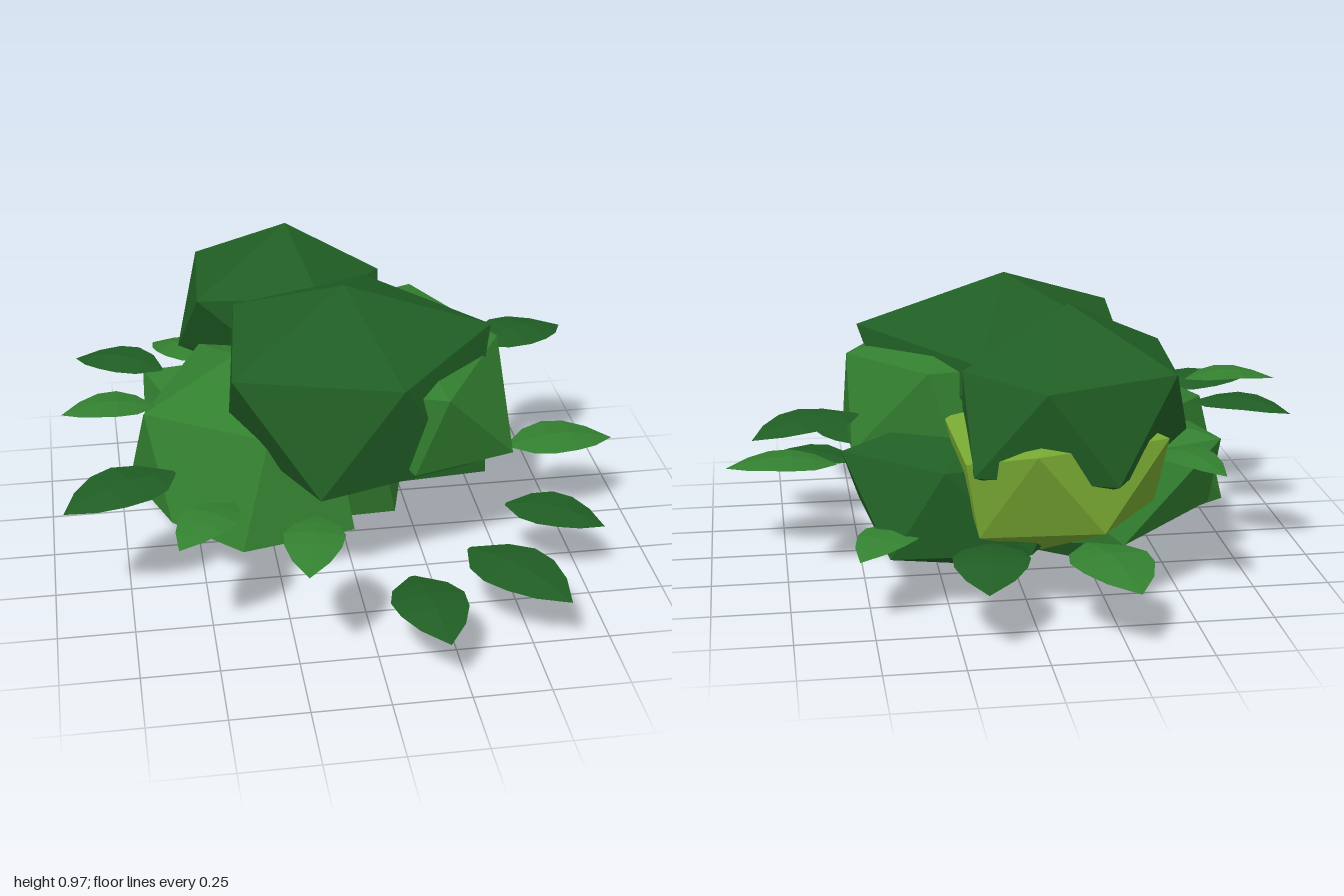
import * as THREE from 'three';
import { ConvexGeometry } from 'three/addons/geometries/ConvexGeometry.js';

const paint = (color) => new THREE.MeshStandardMaterial({ color, flatShading: true, side: THREE.DoubleSide });

// Faceted foliage clump: an irregular 20-sided solid with a top, two rings and a bottom
function clump(name, material, points) {
  const mesh = new THREE.Mesh(new ConvexGeometry(points.map((p) => new THREE.Vector3(...p))), material);
  mesh.name = name;
  return mesh;
}

// Arched leaf blade: cross-sections of left edge, raised midrib and right edge
function leaf(name, material, [bx, bz, tx, tz, by, ty, width]) {
  const half = [0.04, 0.38, 0.5, 0.46, 0.3, 0];
  const length = Math.hypot(tx - bx, tz - bz);
  const sx = -(tz - bz) / length, sz = (tx - bx) / length;
  const position = [], index = [];
  half.forEach((h, i) => {
    const t = i / (half.length - 1);
    const x = bx + (tx - bx) * t, z = bz + (tz - bz) * t;
    const y = by + (ty - by) * t + 0.035 * Math.sin(Math.PI * t);
    for (const s of [-1, 0, 1]) {
      const w = s * h * width;
      position.push(x + sx * w, y - Math.abs(w) * 0.12, z + sz * w);
    }
    if (i === 0) return;
    for (const k of [0, 1]) {
      const a = (i - 1) * 3 + k, b = a + 3;
      index.push(a, a + 1, b, a + 1, b + 1, b);
    }
  });
  const geometry = new THREE.BufferGeometry();
  geometry.setAttribute('position', new THREE.Float32BufferAttribute(position, 3));
  geometry.setIndex(index);
  geometry.computeVertexNormals();
  const mesh = new THREE.Mesh(geometry, material);
  mesh.name = name;
  return mesh;
}

export function createModel() {
  const model = new THREE.Group();
  model.name = 'bush';
  const dark = paint(0x205e24), light = paint(0x338030), lime = paint(0x76a632);

  // Foliage clumps
  const foliage = new THREE.Group();
  foliage.name = 'foliage';
  foliage.add(
    clump('frontTopClump', dark, [
      [0, 0.955, 0.02],
      [0.14, 0.77, -0.46], [0.49, 0.79, 0.04], [0.13, 0.77, 0.44], [-0.4, 0.78, 0.31], [-0.34, 0.79, -0.24],
      [-0.14, 0.41, 0.46], [0.37, 0.41, 0.3], [0.33, 0.4, -0.28], [-0.1, 0.42, -0.48], [-0.39, 0.42, -0.04],
      [0, 0.25, 0],
    ]),
    clump('backTopClump', dark, [
      [-0.13, 0.97, -0.49],
      [-0.43, 0.79, -0.7], [-0.02, 0.77, -0.79], [0.2, 0.77, -0.5], [-0.04, 0.78, -0.25], [-0.46, 0.79, -0.28],
      [-0.24, 0.47, -0.79], [0.19, 0.49, -0.7], [0.18, 0.5, -0.32], [-0.14, 0.5, -0.23], [-0.52, 0.54, -0.46],
      [-0.13, 0.33, -0.5],
    ]),
    clump('leftClump', light, [
      [0.2, 0.8, 0],
      [0.53, 0.71, -0.03], [0.28, 0.71, 0.41], [0.3, 0.74, -0.42], [-0.1, 0.72, 0.3], [-0.1, 0.72, -0.3],
      [0.53, 0.42, 0.26], [0.53, 0.43, -0.22], [0.2, 0.43, -0.45], [0.18, 0.43, 0.38], [-0.15, 0.43, 0],
      [0.2, 0.3, 0],
    ]),
    clump('rightLowClump', light, [
      [-0.35, 0.68, -0.08],
      [-0.67, 0.51, -0.02], [-0.45, 0.57, -0.4], [-0.1, 0.6, -0.3], [-0.28, 0.52, 0.24], [-0.05, 0.48, 0.2],
      [-0.72, 0.19, -0.17], [-0.6, 0.19, 0.16], [-0.38, 0.16, 0.33], [0, 0.17, 0.26], [-0.3, 0.19, -0.45],
      [-0.32, 0.005, -0.03],
    ]),
    clump('centreLowClump', light, [
      [-0.15, 0.62, -0.18],
      [0.25, 0.42, -0.1], [0.1, 0.42, 0.25], [-0.5, 0.48, 0.1], [-0.65, 0.48, -0.4], [0, 0.45, -0.55],
      [0.15, 0.18, 0.18], [-0.3, 0.18, 0.2], [-0.66, 0.2, -0.22], [-0.3, 0.2, -0.58], [0.15, 0.2, -0.45],
      [-0.24, 0, -0.18],
    ]),
    clump('leftLowClump', dark, [
      [0.15, 0.6, -0.28],
      [0.57, 0.475, -0.34], [0.27, 0.48, -0.62], [-0.15, 0.47, -0.5], [-0.15, 0.47, -0.05], [0.27, 0.45, 0],
      [0.5, 0.2, 0], [0.44, 0.2, -0.6], [0, 0.2, -0.62], [-0.2, 0.2, -0.28], [0.02, 0.2, 0.04],
      [0.12, 0.04, -0.28],
    ]),
    clump('backLowClump', lime, [
      [-0.1, 0.7, -0.5],
      [0.01, 0.58, -0.8], [0.21, 0.52, -0.66], [0.25, 0.6, -0.42], [-0.41, 0.59, -0.7], [-0.2, 0.58, -0.3],
      [-0.2, 0.32, -0.78], [0.17, 0.28, -0.66], [-0.4, 0.34, -0.55], [0.15, 0.28, -0.35],
      [-0.05, 0.17, -0.5],
    ]),
  );
  model.add(foliage);

  // Ring of loose leaves: base x, base z, tip x, tip z, base y, tip y, width
  const darkLeaves = [
    [0.51, -0.25, 0.85, -0.41, 0.57, 0.545, 0.24],
    [0.51, 0.27, 0.81, 0.43, 0.23, 0.21, 0.22],
    [0.34, 0.49, 0.6, 0.82, 0.21, 0.19, 0.26],
    [0.13, 0.61, 0.18, 0.99, 0.2, 0.195, 0.24],
    [-0.59, 0.27, -0.95, 0.46, 0.45, 0.435, 0.25],
    [-0.59, -0.24, -0.88, -0.39, 0.56, 0.55, 0.2],
    [0.12, -0.6, 0.18, -0.97, 0.24, 0.22, 0.24],
  ];
  const lightLeaves = [
    [0.57, 0.02, 0.94, 0.02, 0.31, 0.31, 0.23],
    [-0.17, 0.61, -0.24, 0.92, 0.45, 0.43, 0.19],
    [-0.42, 0.49, -0.61, 0.73, 0.45, 0.44, 0.18],
    [-0.63, 0.02, -0.94, 0.02, 0.56, 0.55, 0.18],
    [-0.42, -0.46, -0.6, -0.68, 0.47, 0.45, 0.18],
    [-0.17, -0.64, -0.27, -1, 0.24, 0.21, 0.26],
    [0.36, -0.47, 0.54, -0.71, 0.26, 0.24, 0.19],
  ];
  const leaves = new THREE.Group();
  leaves.name = 'leaves';
  darkLeaves.forEach((l, i) => leaves.add(leaf(`darkLeaf${i + 1}`, dark, l)));
  lightLeaves.forEach((l, i) => leaves.add(leaf(`lightLeaf${i + 1}`, light, l)));
  model.add(leaves);
  return model;
}
